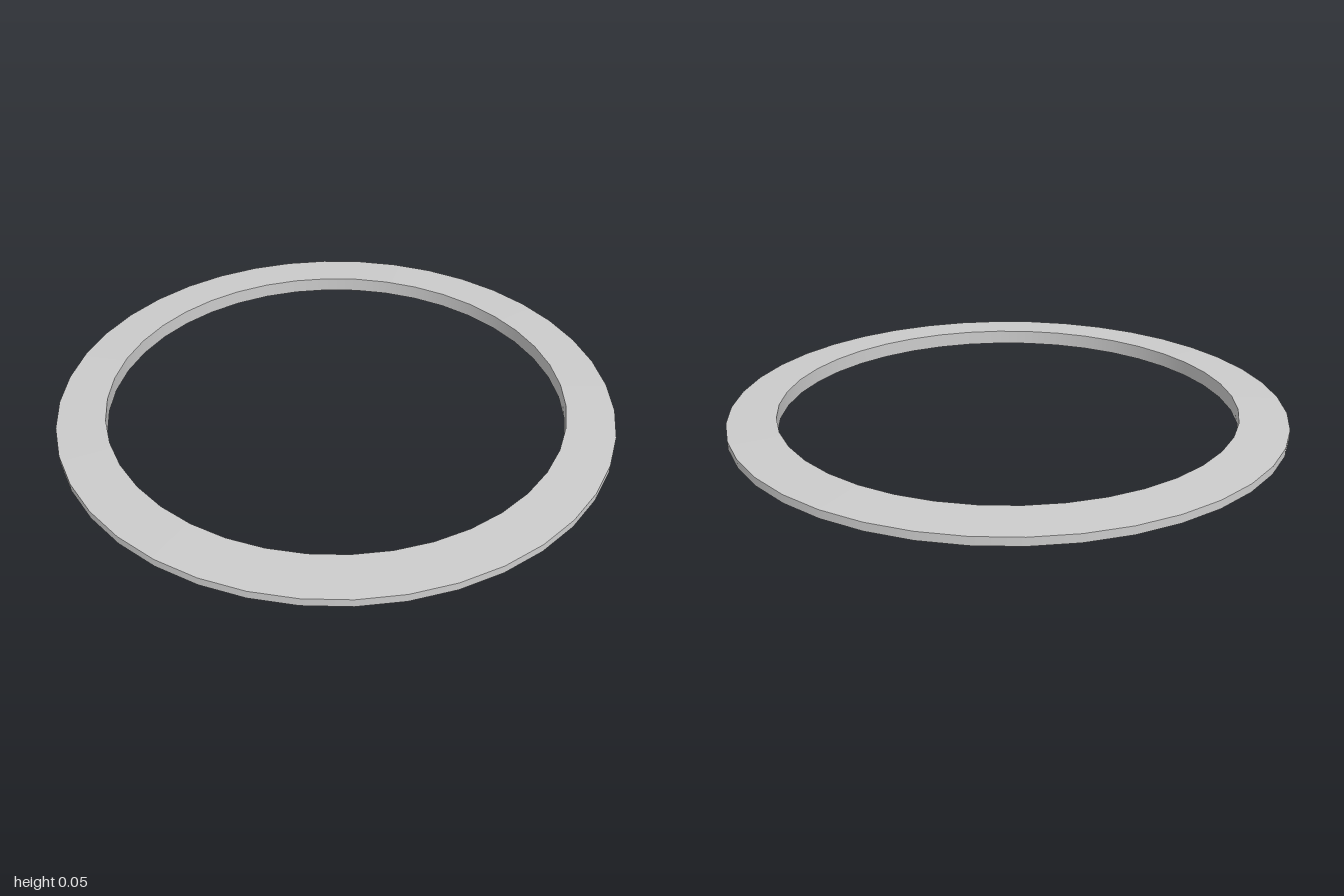
import * as THREE from 'three';

const SIDES = 40;
const OUTER = 1, INNER = 0.828;

export function createModel() {
  const group = new THREE.Group();
  group.name = 'ring';
  // open underneath, so both sides of the thin sheet show
  const material = new THREE.MeshStandardMaterial({ color: 0xcccccc, side: THREE.DoubleSide });

  // one revolved band between two profile points (radius, height)
  const band = (name, r0, y0, r1, y1) => {
    const profile = [new THREE.Vector2(r0, y0), new THREE.Vector2(r1, y1)];
    const mesh = new THREE.Mesh(new THREE.LatheGeometry(profile, SIDES), material);
    mesh.name = name;
    group.add(mesh);
  };

  // separate bands keep the rims sharp while each stays smooth around
  band('outerWall', OUTER, 0.018, OUTER, 0.047);
  band('topFace', OUTER, 0.047, INNER, 0.055);
  band('innerWall', INNER, 0.055, INNER, 0);

  return group;
}
